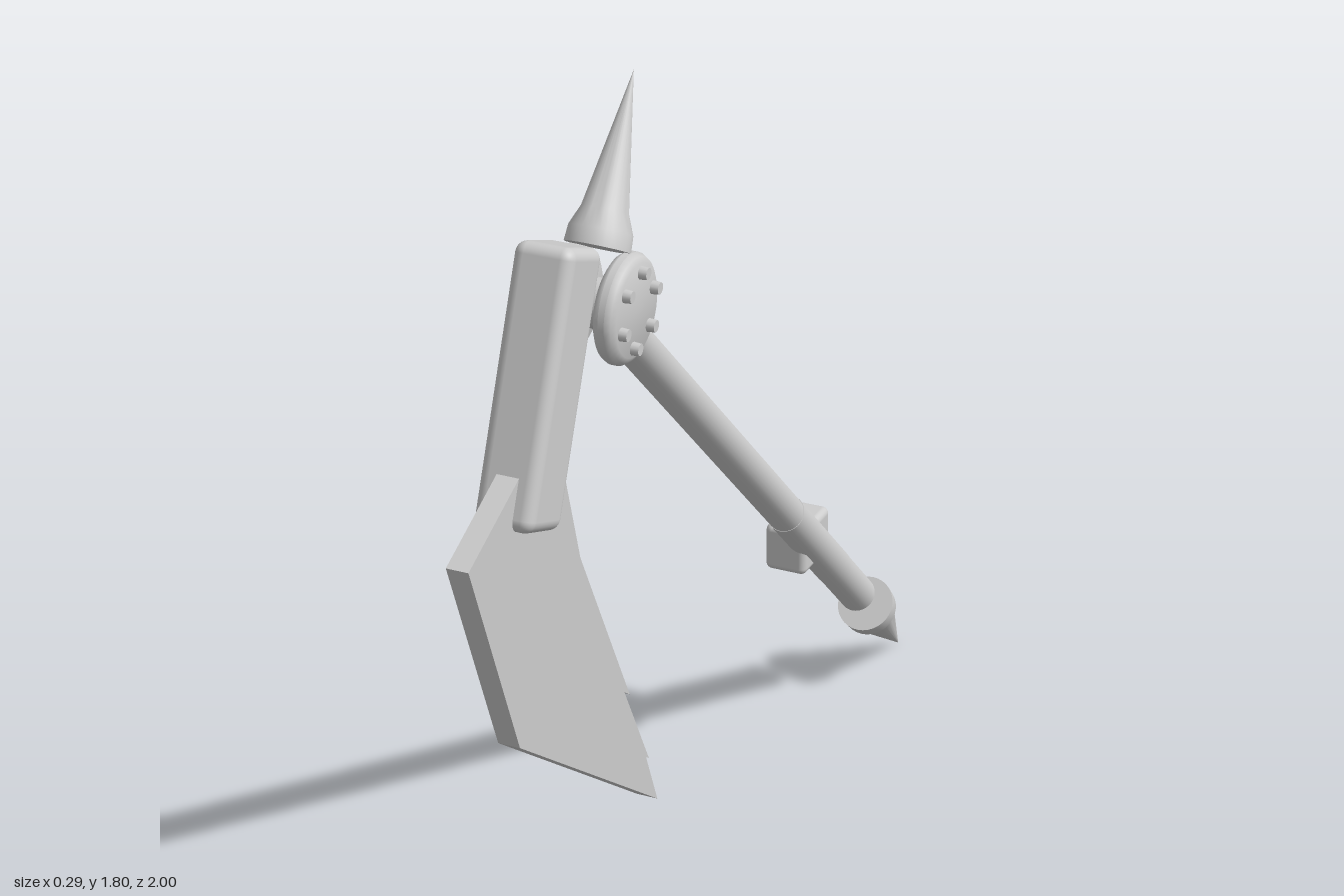
import * as THREE from 'three';
import { toCreasedNormals } from 'three/addons/utils/BufferGeometryUtils.js';
import { RoundedBoxGeometry } from 'three/addons/geometries/RoundedBoxGeometry.js';

const YAW = 0.104;
const UP = new THREE.Vector3(0, 1, 0);

export function createModel() {
  const model = new THREE.Group();
  model.name = 'scytheAxe';
  const steel = new THREE.MeshStandardMaterial({ color: 0xcccccc });
  steel.name = 'pale steel';

  // The weapon lies in one plane, turned a little about the vertical axis
  const weapon = new THREE.Group();
  weapon.name = 'weapon';
  weapon.rotation.y = YAW;
  weapon.position.x = 0.003;
  model.add(weapon);

  const point = (z, y, x = 0) => new THREE.Vector3(x, y, z / Math.cos(YAW));
  const add = (name, geometry, parent = weapon) => {
    const mesh = new THREE.Mesh(geometry, steel);
    mesh.name = name;
    parent.add(mesh);
    return mesh;
  };
  const lathe = (profile, segments = 32) => toCreasedNormals(
    new THREE.LatheGeometry(profile.map(([r, y]) => new THREE.Vector2(r, y)), segments), 0.6);
  const aim = (mesh, from, to) => {
    mesh.position.copy(from);
    mesh.quaternion.setFromUnitVectors(UP, to.clone().sub(from).normalize());
  };

  // Shaft with a slightly thicker grip
  const hub = point(0.455, 1.42);
  const shaftEnd = point(-0.758, 0.241);
  const rod = (name, a, b, radius) => {
    const mesh = add(name, new THREE.CylinderGeometry(radius, radius, a.distanceTo(b), 32));
    aim(mesh, a, b);
    mesh.position.lerpVectors(a, b, 0.5);
  };
  rod('shaft', hub, shaftEnd, 0.0375);
  rod('grip', hub.clone().lerp(shaftEnd, 0.685), hub.clone().lerp(shaftEnd, 0.89), 0.0385);

  // Spikes: a collar that narrows into a long cone
  const spike = (name, base, tip, lip, neck, neckRadius) => {
    const mesh = add(name, lathe([
      [0, 0], [0.059, 0], [0.057, lip], [neckRadius, neck], [0, base.distanceTo(tip)],
    ]));
    aim(mesh, base, tip);
  };
  spike('topSpike', point(0.455, 1.526), point(0.303, 1.797), 0.03, 0.066, 0.042);
  spike('endSpike', point(-0.803, 0.195), point(-0.996, 0.002), 0.035, 0.058, 0.047);

  // Pivot: two rounded discs, each with a ring of six studs
  const axle = add('pivotAxle', new THREE.CylinderGeometry(0.045, 0.045, 0.1, 24));
  axle.rotation.z = Math.PI / 2;
  axle.position.copy(hub);
  for (const side of [1, -1]) {
    const plate = new THREE.Group();
    plate.name = side > 0 ? 'leftPivotPlate' : 'rightPivotPlate';
    plate.position.copy(hub).setX(side * 0.052);
    plate.rotation.z = -side * Math.PI / 2;
    weapon.add(plate);
    add('pivotDisc', lathe([
      [0, -0.022], [0.084, -0.022], [0.094, -0.016], [0.1, -0.006],
      [0.1, 0.006], [0.094, 0.016], [0.084, 0.022], [0, 0.022],
    ], 40), plate);
    for (let i = 0; i < 6; i++) {
      const angle = THREE.MathUtils.degToRad(15 + i * 60);
      const stud = add('stud', new THREE.CylinderGeometry(0.011, 0.013, 0.024, 12), plate);
      // stud positions share the same height and depth on both discs
      stud.position.set(-side * 0.067 * Math.sin(angle), 0.025, -0.067 * Math.cos(angle));
    }
  }

  // Block on the right side of the shaft
  const block = add('sideBlock', new RoundedBoxGeometry(0.088, 0.1, 0.13, 3, 0.014));
  block.position.copy(point(-0.515, 0.484, -0.033));

  // Blade holder
  const holder = add('bladeHolder', new RoundedBoxGeometry(0.112, 0.488, 0.135, 4, 0.022));
  holder.position.copy(point(0.691, 1.366));
  holder.rotation.x = -0.385;

  // Hooked blade with a notched inner edge
  const outline = [
    [1.0, 1.165], [0.828, 0.737], [0.27, 0.324], [0.318, 0.44], [0.306, 0.432],
    [0.408, 0.626], [0.386, 0.61], [0.581, 0.988], [0.655, 1.235], [0.75, 1.28], [0.822, 1.245],
  ];
  const shape = new THREE.Shape(outline.map(([z, y]) => new THREE.Vector2(z / Math.cos(YAW), y)));
  const bladeGeometry = new THREE.ExtrudeGeometry(shape, { depth: 0.042, bevelEnabled: false });
  bladeGeometry.translate(0, 0, -0.021);
  bladeGeometry.rotateY(-Math.PI / 2);
  add('blade', bladeGeometry);

  return model;
}
